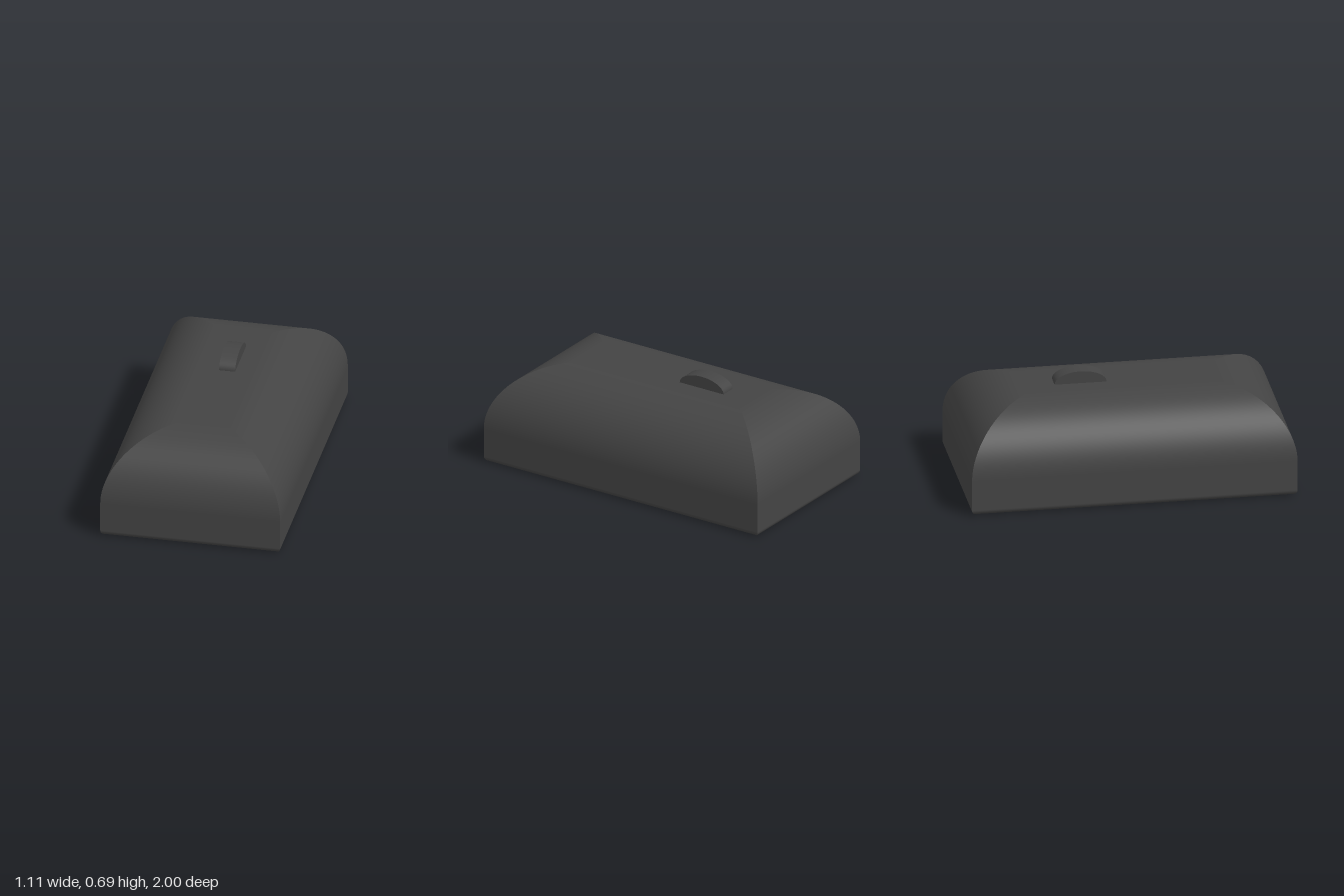
import * as THREE from 'three';

const HALF_W = 0.557, HALF_L = 1, HEIGHT = 0.613;
const TOP_R = 0.39, BOTTOM_R = 0.035;

// Edge profile from the base up: inset from the outline, height, outward and upward normal
function edgeProfile() {
  const rows = [];
  const arc = (r, cy, from, to, steps) => {
    for (let i = 0; i <= steps; i++) {
      const a = from + (to - from) * i / steps;
      const out = Math.cos(a), up = Math.sin(a);
      rows.push({ inset: r - r * out, y: cy + r * up, out, up });
    }
  };
  arc(BOTTOM_R, BOTTOM_R, -Math.PI / 2, 0, 8);
  arc(TOP_R, HEIGHT - TOP_R, 0, Math.PI / 2, 32);
  return rows;
}

// Four rounded sides meeting in mitred corners, closed by a flat top and base
function shellGeometry() {
  const pos = [], nor = [], idx = [];
  const rows = edgeProfile();
  const corners = [[1, 1], [1, -1], [-1, -1], [-1, 1]];
  const normals = [[1, 0], [0, -1], [-1, 0], [0, 1]];
  const corner = (k, row) => {
    const [sx, sz] = corners[k % 4];
    return [sx * (HALF_W - row.inset), row.y, sz * (HALF_L - row.inset)];
  };
  for (let s = 0; s < 4; s++) {
    const base = pos.length / 3;
    const [nx, nz] = normals[s];
    rows.forEach((row, i) => {
      for (const k of [s, s + 1]) {
        pos.push(...corner(k, row));
        nor.push(nx * row.out, row.up, nz * row.out);
      }
      if (i > 0) {
        const a = base + (i - 1) * 2;
        idx.push(a, a + 1, a + 3, a, a + 3, a + 2);
      }
    });
  }
  for (const [row, up] of [[rows[0], -1], [rows[rows.length - 1], 1]]) {
    const b = pos.length / 3;
    for (let k = 0; k < 4; k++) {
      pos.push(...corner(k, row));
      nor.push(0, up, 0);
    }
    if (up > 0) idx.push(b, b + 1, b + 2, b, b + 2, b + 3);
    else idx.push(b, b + 2, b + 1, b, b + 3, b + 2);
  }
  const geo = new THREE.BufferGeometry();
  geo.setAttribute('position', new THREE.Float32BufferAttribute(pos, 3));
  geo.setAttribute('normal', new THREE.Float32BufferAttribute(nor, 3));
  geo.setIndex(idx);
  return geo;
}

export function createModel() {
  const group = new THREE.Group();
  group.name = 'computerMouse';
  const material = new THREE.MeshStandardMaterial({ color: 0x444444 });

  const body = new THREE.Mesh(shellGeometry(), material);
  body.name = 'body';
  group.add(body);

  // Scroll wheel: an oval drum lying across the body, half sunk into the top
  const wheelGeo = new THREE.CylinderGeometry(1, 1, 0.1, 48);
  wheelGeo.rotateZ(Math.PI / 2);
  wheelGeo.scale(1, 0.077, 0.16);
  const wheel = new THREE.Mesh(wheelGeo, material);
  wheel.name = 'scrollWheel';
  wheel.position.set(0, HEIGHT, -0.25);
  group.add(wheel);

  return group;
}
